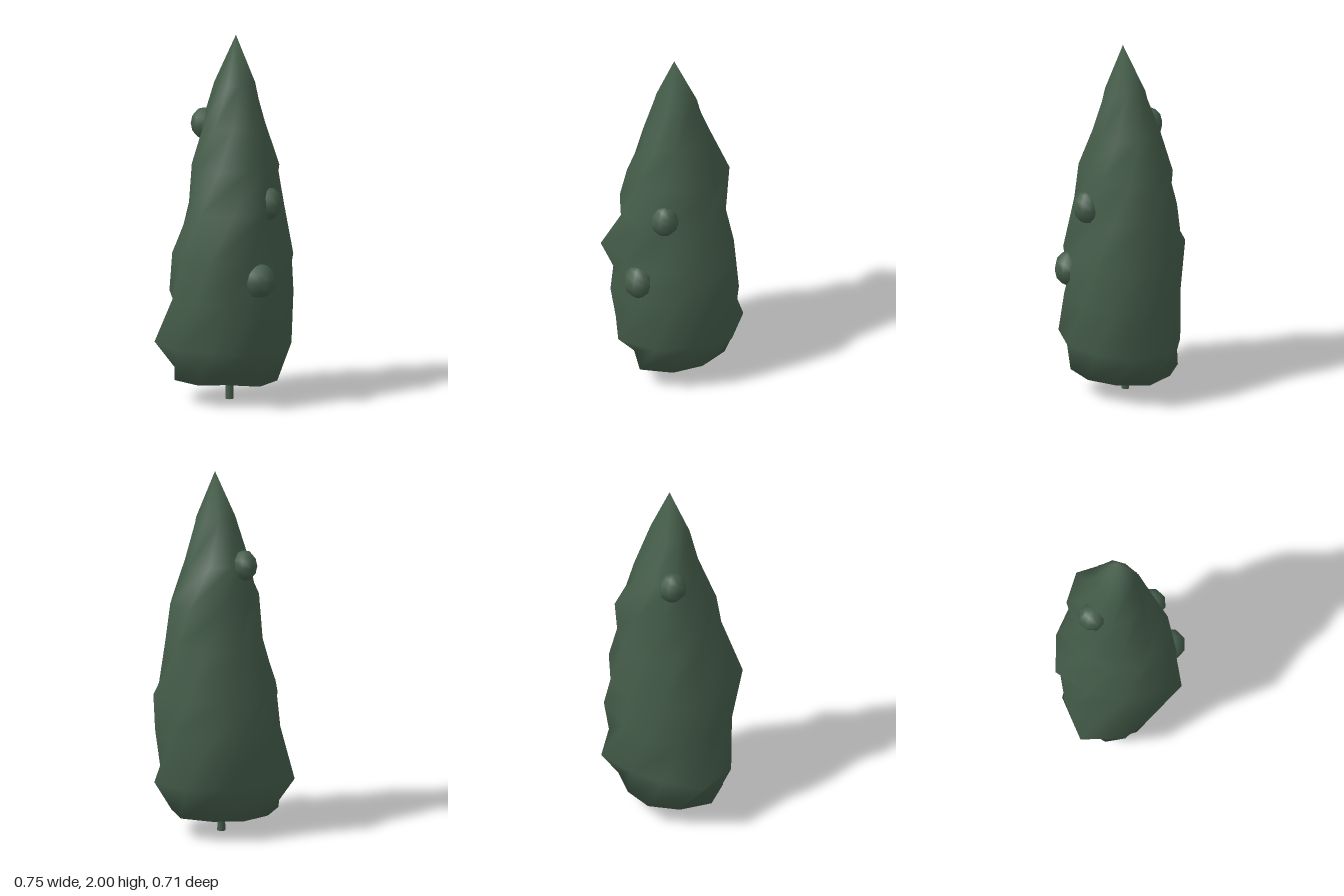
import * as THREE from 'three';

const SIDES = 10;

// Irregular foliage rings: height, centre x, radius at each of the ten sides.
// Each ring is turned half a side against the one below, so the folds spiral.
const RINGS = [
  { y: 0.12, x: 0.02, r: [0.28, 0.30, 0.21, 0.27, 0.30, 0.28, 0.28, 0.27, 0.30, 0.275] },
  { y: 0.31, x: 0.03, r: [0.33, 0.345, 0.365, 0.30, 0.36, 0.405, 0.30, 0.30, 0.385, 0.39] },
  { y: 0.57, x: 0.03, r: [0.355, 0.31, 0.33, 0.35, 0.325, 0.32, 0.345, 0.30, 0.29, 0.375] },
  { y: 0.80, x: 0.04, r: [0.385, 0.33, 0.305, 0.335, 0.385, 0.33, 0.32, 0.36, 0.32, 0.33] },
  { y: 1.06, x: 0.055, r: [0.29, 0.275, 0.22, 0.28, 0.30, 0.30, 0.25, 0.26, 0.29, 0.275] },
  { y: 1.29, x: 0.055, r: [0.30, 0.27, 0.24, 0.21, 0.245, 0.25, 0.25, 0.23, 0.25, 0.27] },
  { y: 1.51, x: 0.05, r: [0.20, 0.20, 0.175, 0.175, 0.17, 0.165, 0.17, 0.17, 0.18, 0.19] },
  { y: 1.74, x: 0.055, r: [0.12, 0.125, 0.12, 0.11, 0.11, 0.10, 0.105, 0.11, 0.11, 0.11] },
];

function foliageGeometry() {
  const pos = [], index = [];
  RINGS.forEach((ring, k) => {
    const start = THREE.MathUtils.degToRad(23 - 18 * k);
    ring.r.forEach((r, i) => {
      const a = start + i / SIDES * Math.PI * 2;
      pos.push(ring.x + r * Math.cos(a), ring.y, r * Math.sin(a));
    });
  });
  const base = RINGS.length * SIDES, tip = base + 1, last = base - SIDES;
  pos.push(0.03, 0.09, 0, 0.062, 2, 0);
  for (let i = 0; i < SIDES; i++) {
    const j = (i + 1) % SIDES;
    index.push(base, i, j);
    for (let k = 0; k < last; k += SIDES) {
      const a = k + i, b = k + j, c = a + SIDES, d = b + SIDES;
      index.push(a, c, b, b, c, d);
    }
    index.push(last + i, tip, last + j);
  }
  const geo = new THREE.BufferGeometry();
  geo.setAttribute('position', new THREE.Float32BufferAttribute(pos, 3));
  geo.setIndex(index);
  geo.computeVertexNormals();
  return geo;
}

export function createModel() {
  const green = new THREE.MeshStandardMaterial({ color: 0x455d4a });
  green.name = 'dark green';
  const tree = new THREE.Group();
  tree.name = 'cypressTree';

  const add = (name, geo, x = 0, y = 0, z = 0) => {
    const mesh = new THREE.Mesh(geo, green);
    mesh.name = name;
    mesh.position.set(x, y, z);
    tree.add(mesh);
    return mesh;
  };

  // Thin trunk under the crown
  add('trunk', new THREE.CylinderGeometry(0.02, 0.022, 0.14, 8), 0.028, 0.07, 0);

  // Tall tapering crown
  add('foliage', foliageGeometry());

  // Rounded tufts poking out of the crown: centre, then half sizes
  const tufts = [
    [0.173, 0.705, 0.265, 0.088, 0.095, 0.082],
    [0.23, 1.10, 0.135, 0.072, 0.09, 0.08],
    [-0.105, 1.50, -0.077, 0.072, 0.085, 0.08],
  ];
  for (const [x, y, z, sx, sy, sz] of tufts) {
    add('tuft', new THREE.SphereGeometry(1, 8, 6), x, y, z).scale.set(sx, sy, sz);
  }
  return tree;
}
